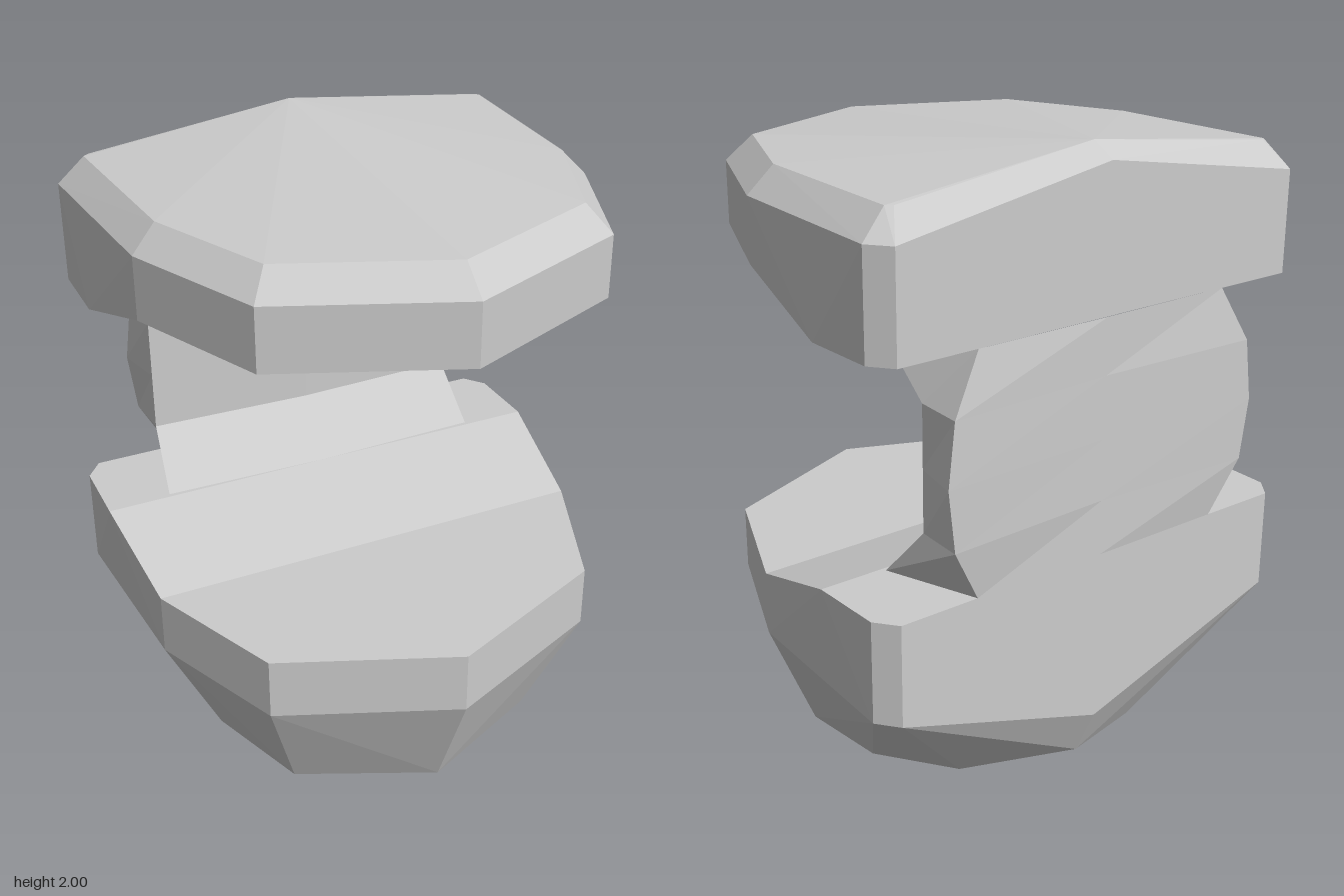
import * as THREE from 'three';
import { ConvexGeometry } from 'three/addons/geometries/ConvexGeometry.js';

const material = new THREE.MeshStandardMaterial({ color: 0xcccccc, flatShading: true });

// Faceted solid around a handful of corner points
function solid(name, points) {
  const mesh = new THREE.Mesh(new ConvexGeometry(points.map(p => new THREE.Vector3(...p))), material);
  mesh.name = name;
  return mesh;
}

// Both mirrored corners of each [x, z] pair at height y (single point on the centre line)
function ring(y, pairs) {
  return pairs.flatMap(([x, z]) => (x === 0 ? [[0, y, z]] : [[x, y, z], [-x, y, z]]));
}

// Shield-shaped outline, front half and rear half
const FRONT = [[0, 0.715], [0.57, 0.48], [0.76, 0.02]];
const REAR = [[0.795, -0.62], [0.74, -0.69]];
const HINGE = [[0.76, 0.02]];
const SHOULDER = [[0.8, -0.37]];

// Slab that is flat in front and thickens towards the back
function addSlab(group, name, outer, inner, thick) {
  const slab = new THREE.Group();
  slab.name = name;
  slab.add(
    solid(name + 'Front', [...ring(outer, FRONT), ...ring(inner, FRONT)]),
    solid(name + 'Rear', [
      ...ring(outer, [...HINGE, ...REAR]), ...ring(inner, HINGE),
      ...ring(thick, [...SHOULDER, ...REAR]),
    ]),
  );
  group.add(slab);
}

// Curved neck lofted through six-sided sections
function neckGeometry() {
  // y, front half width, front z, front centre z, back half width, back z
  const half = [
    [0.38, 0.58, -0.385, -0.37, 0.47, -0.69],
    [0.2, 0.56, -0.55, -0.53, 0.57, -0.715],
    [0, 0.56, -0.55, -0.53, 0.595, -0.718],
  ];
  const sections = [
    ...half.map(([d, ...s]) => [1.12 - d, ...s]),
    ...half.slice(0, 2).reverse().map(([d, ...s]) => [1.12 + d, ...s]),
  ];
  const positions = [], index = [];
  sections.forEach(([y, xf, zf, zc, xb, zb]) => {
    positions.push(-xf, y, zf, 0, y, zc, xf, y, zf, xb, y, zb, 0, y, -0.693, -xb, y, zb);
  });
  for (let s = 0; s < sections.length - 1; s++) {
    for (let i = 0; i < 6; i++) {
      const a = s * 6 + i, b = s * 6 + (i + 1) % 6;
      index.push(a, b, b + 6, a, b + 6, a + 6);
    }
  }
  const geometry = new THREE.BufferGeometry();
  geometry.setAttribute('position', new THREE.Float32BufferAttribute(positions, 3));
  geometry.setIndex(index);
  const flat = geometry.toNonIndexed();
  flat.computeVertexNormals();
  return flat;
}

export function createModel() {
  const model = new THREE.Group();
  model.name = 'model';

  // Tapered foot with a slightly irregular base
  const base = [
    [0, 0.54], [0.44, 0.34], [0.57, 0.07], [0.54, -0.23], [0.37, -0.47], [0, -0.61],
    [-0.28, -0.55], [-0.44, -0.4], [-0.565, -0.02], [-0.44, 0.34],
  ];
  model.add(solid('foot', [
    ...base.map(([x, z]) => [x, 0, z]),
    ...ring(0.41, [...FRONT, ...REAR]),
    [0, 0.17, -0.69],
  ]));

  // Lower and upper slabs, mirrored in height
  addSlab(model, 'lowerSlab', 0.41, 0.62, 0.74);
  addSlab(model, 'upperSlab', 1.83, 1.625, 1.5);

  // Neck joining the slabs at the back
  const neck = new THREE.Mesh(neckGeometry(), material);
  neck.name = 'neck';
  model.add(neck);

  // Chamfered cap rising to a peak at the back
  model.add(solid('cap', [
    ...ring(1.83, [...FRONT, ...REAR]),
    ...ring(1.915, [[0, 0.62], [0.51, 0.41], [0.68, 0], [0.71, -0.6], [0.69, -0.615]]),
    [0, 2, -0.61],
    [0, 1.955, -0.69],
  ]));

  return model;
}
